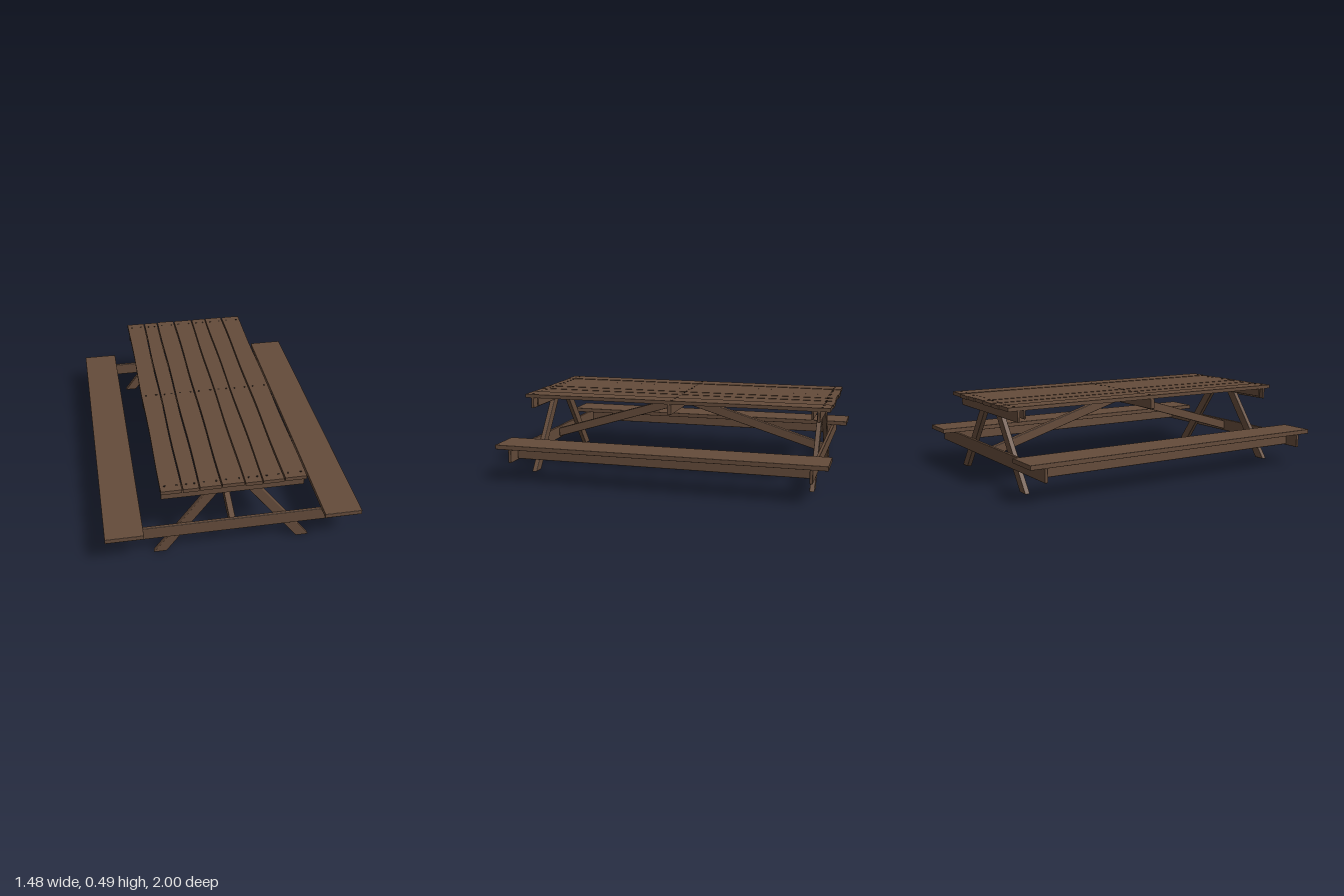
import * as THREE from 'three';
import { RoundedBoxGeometry } from 'three/addons/geometries/RoundedBoxGeometry.js';

const wood = new THREE.MeshStandardMaterial({ color: 0x644b3a });
wood.name = 'brown wood';
const iron = new THREE.MeshStandardMaterial({ color: 0x2b211a });
iron.name = 'dark nail';

// Timber with softened edges, given by its bounds on each axis
function timber(name, [x0, x1], [y0, y1], [z0, z1], radius = 0.004) {
  const geometry = new RoundedBoxGeometry(x1 - x0, y1 - y0, z1 - z0, 2, radius);
  const mesh = new THREE.Mesh(geometry, wood);
  mesh.position.set((x0 + x1) / 2, (y0 + y1) / 2, (z0 + z1) / 2);
  mesh.name = name;
  return mesh;
}

// Slanted timber: a sheared beam whose ends stay parallel to floor or wall
function slant(mesh, { xByY = 0, yByZ = 0 }) {
  mesh.geometry.applyMatrix4(new THREE.Matrix4().set(
    1, xByY, 0, 0,
    0, 1, yByZ, 0,
    0, 0, 1, 0,
    0, 0, 0, 1));
  return mesh;
}

// Table plank with slightly uneven sides
function plank(x0, x1, z0, z1, lift, seed) {
  const geometry = new THREE.BoxGeometry(x1 - x0, 0.022, z1 - z0, 1, 1, 16);
  const p = geometry.attributes.position;
  for (let i = 0; i < p.count; i++) {
    const side = Math.sign(p.getX(i));
    const wave = Math.sin(p.getZ(i) * 7 + seed * 2.3 + side) * 0.002;
    p.setX(i, p.getX(i) + wave);
  }
  geometry.computeVertexNormals();
  const mesh = new THREE.Mesh(geometry, wood);
  mesh.position.set((x0 + x1) / 2, 0.479 + lift, (z0 + z1) / 2);
  mesh.name = 'tablePlank';
  return mesh;
}

export function createModel() {
  const model = new THREE.Group();
  model.name = 'picnicTable';

  // Table top: seven planks of uneven width, nailed to three cleats
  const top = new THREE.Group();
  top.name = 'tableTop';
  const seams = [-0.415, -0.295, -0.197, -0.074, 0.054, 0.158, 0.279, 0.407];
  const nailGeometry = new THREE.CylinderGeometry(0.007, 0.007, 0.004, 8);
  for (let i = 0; i < 7; i++) {
    const x0 = seams[i] + 0.003, x1 = seams[i + 1] - 0.003;
    const lift = [0.001, -0.001, 0, 0.001, 0, -0.001, 0.001][i];
    top.add(plank(x0, x1, -0.97 - (i % 3) * 0.003, 0.953 - (i % 4) * 0.002, lift, i));
    for (const z of [-0.922, -0.01, 0.905]) {
      for (const x of [x0 + 0.026, x1 - 0.022]) {
        const nail = new THREE.Mesh(nailGeometry, iron);
        nail.position.set(x, 0.4895 + lift, z);
        nail.name = 'nail';
        top.add(nail);
      }
    }
  }
  top.add(timber('middleCleat', [-0.41, 0.405], [0.405, 0.469], [-0.014, 0.014]));
  model.add(top);

  // End frames: cleats, seat bearer and a pair of splayed legs
  for (const s of [1, -1]) {
    const frame = new THREE.Group();
    frame.name = s > 0 ? 'frontFrame' : 'backFrame';
    const span = (a, b) => (s > 0 ? [a, b] : [-b, -a]);
    frame.add(timber('outerCleat', [-0.41, 0.405], [0.402, 0.469], span(0.895, 0.912)));
    frame.add(timber('innerCleat', [-0.41, 0.405], [0.418, 0.469], span(0.86, 0.872)));
    frame.add(timber('seatBearer', [-0.738, 0.738], [0.125, 0.205], span(0.897, 0.916)));
    for (const side of [1, -1]) {
      const leg = timber('leg', [-0.0375, 0.0375], [0, 0.468], span(0.868, 0.897), 0.005);
      slant(leg, { xByY: -0.755 * side });
      leg.position.x = side * 0.247;
      frame.add(leg);
    }
    // Diagonal brace from the middle cleat down to the seat bearer
    const brace = timber('brace', [-0.018, 0.018], [0.272, 0.329], span(0, 0.897));
    frame.add(slant(brace, { yByZ: -0.302 * s }));
    model.add(frame);
  }

  // Benches: a wide board over a long rail
  for (const side of [1, -1]) {
    const bench = new THREE.Group();
    bench.name = side > 0 ? 'leftBench' : 'rightBench';
    const span = (a, b) => (side > 0 ? [a, b] : [-b, -a]);
    bench.add(timber('seatBoard', span(0.52, 0.738), [0.205, 0.232], [-1, 1], 0.002));
    bench.add(timber('seatRail', span(0.612, 0.648), [0.132, 0.206], [-0.897, 0.897]));
    model.add(bench);
  }
  return model;
}
